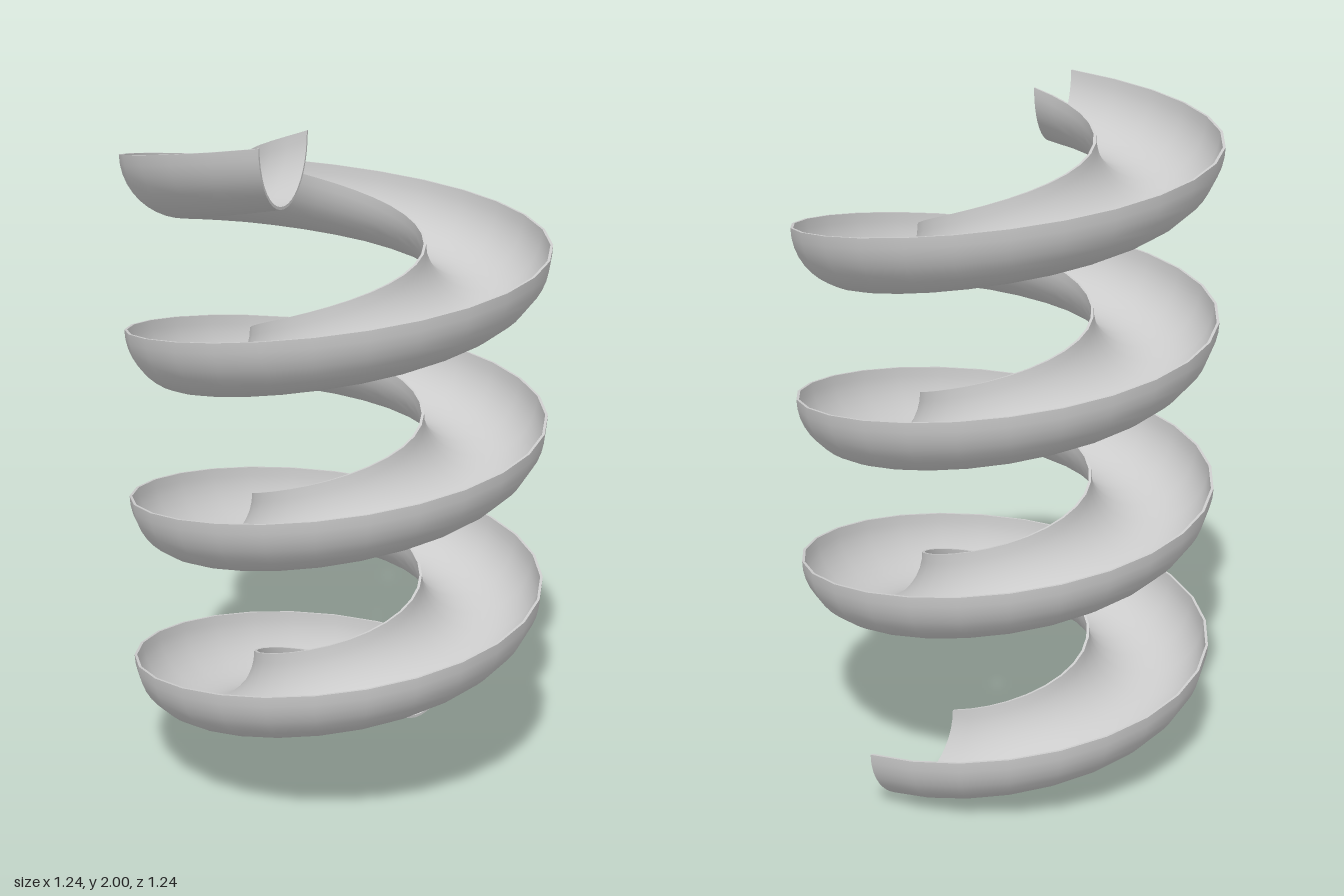
import * as THREE from 'three';

const STEPS = 96;                               // segments along the helix
const SWEEP = THREE.MathUtils.degToRad(1280);   // a little over three and a half turns
const RISE = 1.813, CENTRE = 0.436, RADIUS = 0.187, WALL = 0.008, SIDES = 20;

// Surface over an nu x nv grid of points; it faces du x dv.
function gridGeometry(nu, nv, point) {
  const positions = [], index = [];
  for (let i = 0; i <= nu; i++) {
    for (let j = 0; j <= nv; j++) positions.push(...point(i / nu, j / nv));
  }
  for (let i = 0; i < nu; i++) {
    for (let j = 0; j < nv; j++) {
      const a = i * (nv + 1) + j, b = a + nv + 1;
      index.push(a, b, a + 1, b, b + 1, a + 1);
    }
  }
  const geometry = new THREE.BufferGeometry();
  geometry.setAttribute('position', new THREE.Float32BufferAttribute(positions, 3));
  geometry.setIndex(index);
  geometry.computeVertexNormals();
  return geometry;
}

// Point on the helical trough: u along the helix, v from inner rim to outer rim.
function troughPoint(u, v, radius) {
  const t = u * SWEEP, a = Math.PI * (1 + v);
  const r = CENTRE + radius * Math.cos(a);
  return [r * Math.cos(t), RADIUS + u * RISE + radius * Math.sin(a), -r * Math.sin(t)];
}

export function createModel() {
  const group = new THREE.Group();
  group.name = 'spiralSlide';
  const material = new THREE.MeshStandardMaterial({ color: 0xcccccc, side: THREE.DoubleSide });
  const add = (name, nu, nv, point) => {
    const mesh = new THREE.Mesh(gridGeometry(nu, nv, point), material);
    mesh.name = name;
    group.add(mesh);
  };
  const inside = RADIUS - WALL;
  const across = (s) => THREE.MathUtils.lerp(RADIUS, inside, s);

  // Half-pipe shell
  add('troughUnderside', STEPS, SIDES, (u, v) => troughPoint(u, v, RADIUS));
  add('troughChannel', STEPS, SIDES, (u, v) => troughPoint(u, 1 - v, inside));

  // Narrow rims along both edges
  add('outerRim', STEPS, 1, (u, s) => troughPoint(u, 1, across(s)));
  add('innerRim', STEPS, 1, (u, s) => troughPoint(u, 0, across(1 - s)));

  // Edges of the wall at both ends
  add('lowerEndEdge', 1, SIDES, (s, v) => troughPoint(0, 1 - v, across(s)));
  add('upperEndEdge', 1, SIDES, (s, v) => troughPoint(1, v, across(s)));
  return group;
}
